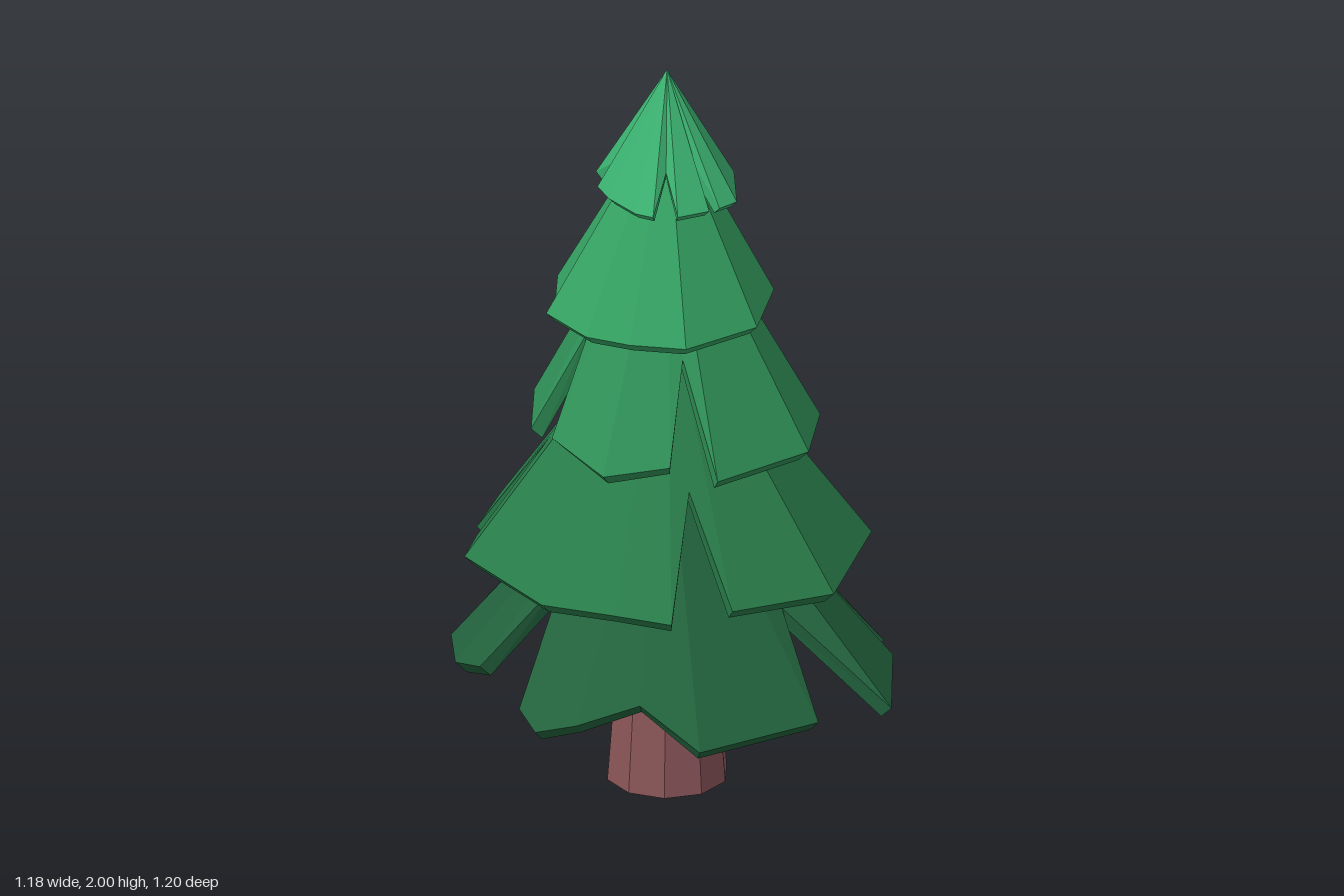
import * as THREE from 'three';

const CX = -0.02, CZ = -0.05; // axis of the tree
const SLIT = 0.61;            // how far slits reach in, as a share of the rim radius

const polar = (x, z) => ({ angle: Math.atan2(z - CZ, x - CX), r: Math.hypot(x - CX, z - CZ) });

// Joins the boughs (flat lists of rim corners x, z) into one outline,
// with a slit corner halfway between each bough and the next.
function joinBoughs(boughs) {
  const outline = [];
  boughs.forEach((bough, i) => {
    for (let k = 0; k < bough.length; k += 2) outline.push(polar(bough[k], bough[k + 1]));
    const next = boughs[(i + 1) % boughs.length];
    const a = outline[outline.length - 1], b = polar(next[0], next[1]);
    const gap = (b.angle - a.angle + Math.PI * 2) % (Math.PI * 2);
    outline.push({ angle: a.angle + gap / 2, r: SLIT * (a.r + b.r) / 2 });
  });
  return outline;
}

// Hollow cone shell fanned from its apex; corners near the axis climb the cone
function boughGeometry(apex, rim, slope, thick, boughs) {
  const outline = joinBoughs(boughs);
  const ring = (inset, drop) => outline.map(({ angle, r }) => [
    CX + Math.cos(angle) * (r - inset),
    Math.max(rim, apex - slope * r) - drop,
    CZ + Math.sin(angle) * (r - inset),
  ]);
  const outer = ring(0, 0), inner = ring(thick, thick);
  const top = [CX, apex, CZ];
  const innerTop = [CX, apex - thick * (1 + slope), CZ];
  const pos = [];
  const tri = (a, b, c) => pos.push(...a, ...b, ...c);
  for (let i = 0; i < outer.length; i++) {
    const j = (i + 1) % outer.length;
    tri(top, outer[j], outer[i]);        // upper surface
    tri(innerTop, inner[i], inner[j]);   // underside
    tri(outer[i], outer[j], inner[j]);   // cut edge
    tri(outer[i], inner[j], inner[i]);
  }
  const geo = new THREE.BufferGeometry();
  geo.setAttribute('position', new THREE.Float32BufferAttribute(pos, 3));
  geo.computeVertexNormals();
  return geo;
}

export function createModel() {
  const tree = new THREE.Group();
  tree.name = 'pineTree';

  const add = (name, geometry, color) => {
    const mesh = new THREE.Mesh(geometry, new THREE.MeshStandardMaterial({
      color, flatShading: true, side: THREE.DoubleSide }));
    mesh.name = name;
    tree.add(mesh);
    return mesh;
  };

  // Tapered trunk running up inside the boughs
  const height = 1.76;
  const trunk = add('trunk', new THREE.CylinderGeometry(0.025, 0.16, height, 10), 0x8a5558);
  trunk.position.set(CX, height / 2, CZ);
  trunk.rotation.y = Math.PI / 10;

  // Stacked tiers, each a ring of ragged boughs
  add('bottomBoughs', boughGeometry(1.04, 0.33, 1.25, 0.03, [
    [-0.15, -0.54, -0.02, -0.6, 0.13, -0.54],
    [0.21, -0.5, 0.42, -0.44, 0.44, -0.21, 0.59, -0.04, 0.4, 0.33],
    [0.35, 0.4, 0.09, 0.6],
    [-0.1, 0.51, -0.43, 0.38, -0.45, 0.2, -0.55, 0.07, -0.595, -0.03, -0.56, -0.11],
    [-0.47, -0.31, -0.42, -0.43, -0.26, -0.57],
  ]), 0x22633d);

  add('lowerBoughs', boughGeometry(1.38, 0.66, 1.43, 0.03, [
    [-0.28, -0.47, -0.05, -0.57, 0.14, -0.5],
    [0.24, -0.47, 0.35, -0.42, 0.38, -0.28],
    [0.43, -0.19, 0.49, -0.06, 0.425, 0.1, 0.35, 0.33, -0.01, 0.49, -0.28, 0.37],
    [-0.42, 0.28, -0.48, 0.14, -0.53, -0.06, -0.42, -0.4, -0.33, -0.43],
  ]), 0x297d4a);

  add('middleBoughs', boughGeometry(1.73, 1.005, 1.92, 0.03, [
    [-0.32, -0.26, -0.18, -0.36, -0.09, -0.41, 0.21, -0.34],
    [0.26, -0.28, 0.36, -0.09, 0.34, 0.12],
    [0.25, 0.24, 0.05, 0.36, -0.24, 0.29],
    [-0.3, 0.18, -0.4, 0.04, -0.36, -0.16],
  ]), 0x2f9157);

  add('upperBoughs', boughGeometry(1.9, 1.34, 2.15, 0.025, [
    [-0.18, -0.29, -0.07, -0.37, 0.15, -0.3, 0.22, -0.19],
    [0.26, -0.12, 0.255, 0],
    [0.24, 0.06, 0.21, 0.12, 0, 0.23, -0.22, 0.17, -0.29, 0.04, -0.32, -0.08, -0.27, -0.25],
  ]), 0x35a262);

  add('topBoughs', boughGeometry(2, 1.66, 2.25, 0.018, [
    [-0.05, -0.26, 0.06, -0.23],
    [0.13, -0.18, 0.17, -0.1, 0.17, 0.02, 0.03, 0.14, -0.03, 0.13],
    [-0.06, 0.12, -0.14, 0.08],
    [-0.18, 0.03, -0.19, -0.02, -0.16, -0.13, -0.12, -0.2],
  ]), 0x3cb371);

  return tree;
}
